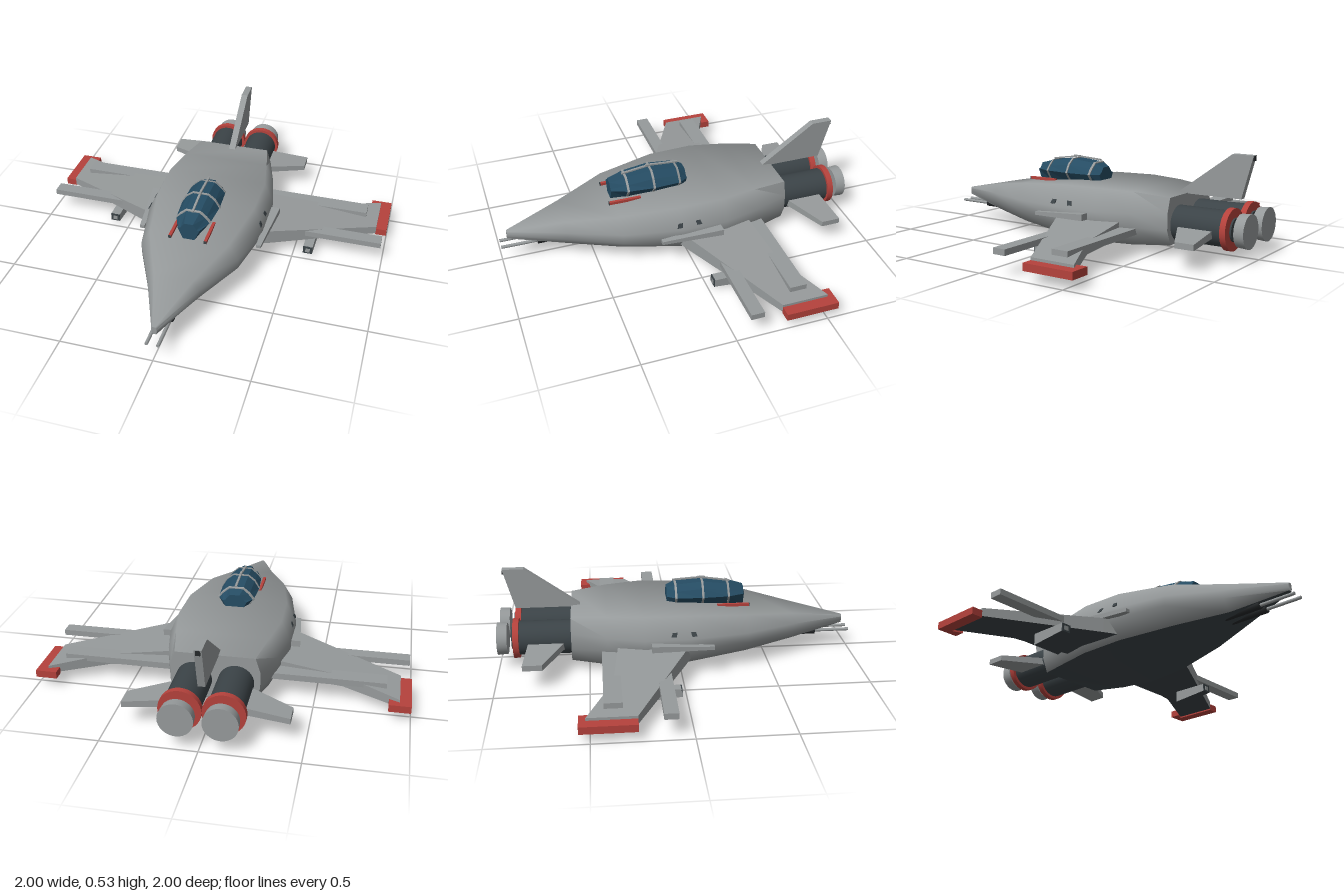
import * as THREE from 'three';
import { toCreasedNormals } from 'three/addons/utils/BufferGeometryUtils.js';

const mat = (name, color) => Object.assign(new THREE.MeshStandardMaterial({ color }), { name });
const grey = mat('hull grey', 0x969a9b);
const dark = mat('engine dark grey', 0x3b4347);
const red = mat('trim red', 0xb5423c);
const blue = mat('canopy blue', 0x254c63);
const black = mat('port black', 0x25282a);
const darkBelow = [grey, dark];

// Skin through equal-length rings [[x,y]...] (anticlockwise from the front), ordered front to back.
// The strip that closes each ring (the underside) takes the second material.
function loft(sections, crease = 0.01) {
  const pos = [];
  const v = (i, j) => {
    const s = sections[i], p = s.ring[j % s.ring.length];
    pos.push(p[0], p[1], s.z);
  };
  const n = sections[0].ring.length, last = sections.length - 1;
  for (let j = 0; j < n; j++) {
    for (let i = 0; i < last; i++) {
      v(i, j); v(i + 1, j); v(i, j + 1);
      v(i, j + 1); v(i + 1, j); v(i + 1, j + 1);
    }
  }
  for (let j = 1; j < n - 1; j++) {
    v(0, 0); v(0, j); v(0, j + 1);
    v(last, 0); v(last, j + 1); v(last, j);
  }
  const g = new THREE.BufferGeometry();
  g.setAttribute('position', new THREE.Float32BufferAttribute(pos, 3));
  const strip = last * 6;
  g.addGroup(0, strip * (n - 1), 0);
  g.addGroup(strip * (n - 1), strip, 1);
  g.addGroup(strip * n, pos.length / 3 - strip * n, 0);
  return toCreasedNormals(g, crease);
}

// Plate with an [x,z] outline whose top and bottom heights follow rules of |x| and z.
// Its underside takes the second material.
function plate(outline, top, bottom, side = 1) {
  const shape = new THREE.Shape(outline.map(([x, z]) => new THREE.Vector2(x * side, -z)));
  const g = new THREE.ExtrudeGeometry(shape, { depth: 1, bevelEnabled: false, steps: 1 });
  const underside = g.groups[0].count / 2;
  g.rotateX(-Math.PI / 2);
  const p = g.attributes.position;
  for (let i = 0; i < p.count; i++) {
    const x = Math.abs(p.getX(i)), z = p.getZ(i);
    p.setY(i, p.getY(i) > 0.5 ? top(x, z) : bottom(x, z));
  }
  g.clearGroups();
  g.addGroup(0, underside, 1);
  g.addGroup(underside, p.count - underside, 0);
  g.computeVertexNormals();
  return g;
}

const mirrorRing = (half) => [...half, ...half.slice().reverse().map(([x, y]) => [-x, y])];

// Canopy cross-section at z, grown by k for the frames
const canopyStations = [
  [0.375, 0.06, 0.395], [0.285, 0.095, 0.418], [0.14, 0.107, 0.436], [-0.01, 0.1, 0.422], [-0.06, 0.068, 0.4],
];
function canopyRing(z, k = 0) {
  let i = 0;
  while (i < 3 && z < canopyStations[i + 1][0]) i++;
  const a = canopyStations[i], b = canopyStations[i + 1], t = (a[0] - z) / (a[0] - b[0]);
  const w = THREE.MathUtils.lerp(a[1], b[1], t) + k, top = THREE.MathUtils.lerp(a[2], b[2], t) + k;
  return mirrorRing([[w * 0.52, 0.295], [w, 0.362], [w * 0.75, top - 0.03], [w * 0.4, top]]);
}

export function createModel() {
  const model = new THREE.Group();
  const add = (name, geometry, material) => {
    const m = new THREE.Mesh(geometry, material);
    m.name = name;
    model.add(m);
    return m;
  };
  const box = (name, x0, x1, y0, y1, z0, z1, material) => {
    const m = add(name, new THREE.BoxGeometry(x1 - x0, y1 - y0, Math.abs(z1 - z0)), material);
    m.position.set((x0 + x1) / 2, (y0 + y1) / 2, (z0 + z1) / 2);
    return m;
  };

  // Fuselage: z, top half-width, widest half-width, bottom half-width, top, shoulder, chine, bottom
  const hull = [
    [0.96, 0.008, 0.014, 0.01, 0.19, 0.18, 0.16, 0.145],
    [0.65, 0.105, 0.14, 0.09, 0.25, 0.2, 0.155, 0.095],
    [0.37, 0.22, 0.272, 0.19, 0.298, 0.212, 0.155, 0.073],
    [0.05, 0.28, 0.335, 0.27, 0.328, 0.215, 0.155, 0.055],
    [-0.2, 0.285, 0.337, 0.285, 0.333, 0.215, 0.155, 0.046],
    [-0.4, 0.25, 0.295, 0.25, 0.328, 0.22, 0.15, 0.048],
    [-0.595, 0.21, 0.235, 0.2, 0.31, 0.23, 0.14, 0.06],
  ].map(([z, wt, wm, wb, t, s, c, b]) => ({ z, ring: mirrorRing([[wb, b], [wm, c], [wm, s], [wt, t]]) }));
  add('fuselage', loft(hull, 1.2), darkBelow);

  // Canopy with frames and roof rails
  add('canopy', loft(canopyStations.map(([z]) => ({ z, ring: canopyRing(z) }))), blue);
  for (const z of [0.285, 0.14, -0.01]) {
    const frame = [z + 0.006, z - 0.006].map((e) => ({ z: e, ring: canopyRing(e, 0.005) }));
    add('canopyFrame', loft(frame), grey);
  }
  for (const [z0, y0, z1, y1] of [[0.3, 0.424, 0.12, 0.45], [0.16, 0.45, -0.025, 0.438]]) {
    const rail = box('canopyRail', -0.006, 0.006, -0.004, 0.004, 0, Math.hypot(z1 - z0, y1 - y0), grey);
    rail.position.set(0, (y0 + y1) / 2, (z0 + z1) / 2);
    rail.rotation.x = Math.atan2(y1 - y0, z0 - z1);
  }

  // Tail fin, drawn in side profile, with a dark tail light
  const finShape = new THREE.Shape([[0.53, 0.305], [0.9, 0.305], [0.962, 0.533], [0.845, 0.533]]
    .map(([x, y]) => new THREE.Vector2(x, y)));
  const fin = new THREE.ExtrudeGeometry(finShape, { depth: 0.038, bevelEnabled: false });
  fin.translate(0, 0, -0.019).rotateY(Math.PI / 2);
  add('tailFin', fin, grey);
  box('finLight', -0.012, 0.012, 0.505, 0.53, -0.953, -0.963, black);

  for (const s of [1, -1]) {
    // Wing, thinning and drooping to the tip, dark underneath
    const wing = [[0.25, 0.07], [0.36, 0.02], [0.62, -0.11], [0.94, -0.27], [0.94, -0.52], [0.64, -0.38], [0.25, -0.34]];
    add('wing', plate(wing, (x) => 0.165 - (x - 0.35) * 0.1, (x) => 0.082 - (x - 0.35) * 0.035, s), darkBelow);
    add('wingTip', plate([[0.938, -0.27], [1, -0.27], [1, -0.555], [0.885, -0.555], [0.885, -0.495], [0.938, -0.518]],
      () => 0.092, () => 0.053, s), red);
    const span = (name, a, b, ...rest) => box(name, Math.min(a * s, b * s), Math.max(a * s, b * s), ...rest);
    span('frontWingBar', 0.4, 0.985, 0.103, 0.135, -0.078, -0.15, grey);
    add('rearWingBar', plate([[0.25, -0.34], [0.87, -0.34], [0.87, -0.432], [0.25, -0.432]],
      () => 0.142, () => 0.108, s), darkBelow);

    // Underwing pod with a dark face and a grey muzzle
    add('wingPod', plate([[0.558, -0.03], [0.612, -0.03], [0.612, -0.24], [0.558, -0.24]],
      () => 0.064, (x, z) => (z < -0.1 ? 0 : 0.02), s), darkBelow);
    span('podFace', 0.558, 0.612, 0.02, 0.064, -0.032, -0.026, dark);
    span('podMuzzle', 0.572, 0.598, 0.029, 0.053, -0.032, -0.024, grey);

    // Slanted side intake
    add('sideIntake', plate([[0.325, 0.175], [0.352, 0.175], [0.387, -0.165], [0.325, -0.165]],
      (x, z) => 0.19 - z * 0.08, (x, z) => 0.163 - z * 0.03, s), grey);

    // Small dark ports on the sloping shoulder
    for (const [z, lean] of [[0.065, 1], [-0.04, -1]]) {
      const port = new THREE.Shape([[-0.016, 0.012], [0.01, 0.012], [0.018, -0.013], [-0.01, -0.013]]
        .map(([a, b]) => new THREE.Vector2(a * lean * -s, b)));
      const m = add('sidePort', new THREE.ExtrudeGeometry(port, { depth: 0.005, bevelEnabled: false }), dark);
      m.position.set(0.322 * s, 0.24, z);
      m.rotation.set(-0.45, s * Math.PI / 2, 0, 'YXZ');
    }

    // Engine, ring and exhaust cap
    const round = (name, r0, r1, z0, z1, material) => {
      const g = new THREE.CylinderGeometry(r1, r0, z0 - z1, 32).rotateX(-Math.PI / 2);
      add(name, g, material).position.set(0.11 * s, 0.165, (z0 + z1) / 2);
    };
    round('engine', 0.094, 0.094, -0.55, -0.885, dark);
    round('engineRing', 0.11, 0.11, -0.88, -0.912, red);
    round('engineCore', 0.062, 0.062, -0.9, -0.922, dark);
    round('exhaustCap', 0.086, 0.09, -0.945, -1, grey);

    // Tailplane
    add('tailplane', plate([[0.19, -0.63], [0.425, -0.745], [0.425, -0.85], [0.19, -0.83]],
      (x) => 0.165 - (x - 0.19) * 0.1, (x) => 0.125 - (x - 0.19) * 0.06, s), grey);

    // Nose gun barrel and housing
    const gun = (name, r, z0, z1, material) => {
      const g = new THREE.CylinderGeometry(r, r, z0 - z1, 12).rotateX(Math.PI / 2);
      add(name, g, material).position.set(0.03 * s, 0.108, (z0 + z1) / 2);
    };
    gun('gunBarrel', 0.009, 1, 0.6, grey);
    gun('gunHousing', 0.02, 0.8, 0.58, black);

    // Red runner beside the canopy, with a dark end
    span('canopyRunner', 0.09, 0.106, 0.305, 0.32, 0.398, 0.22, red);
    span('runnerEnd', 0.09, 0.106, 0.305, 0.32, 0.402, 0.397, dark);
  }
  return model;
}
